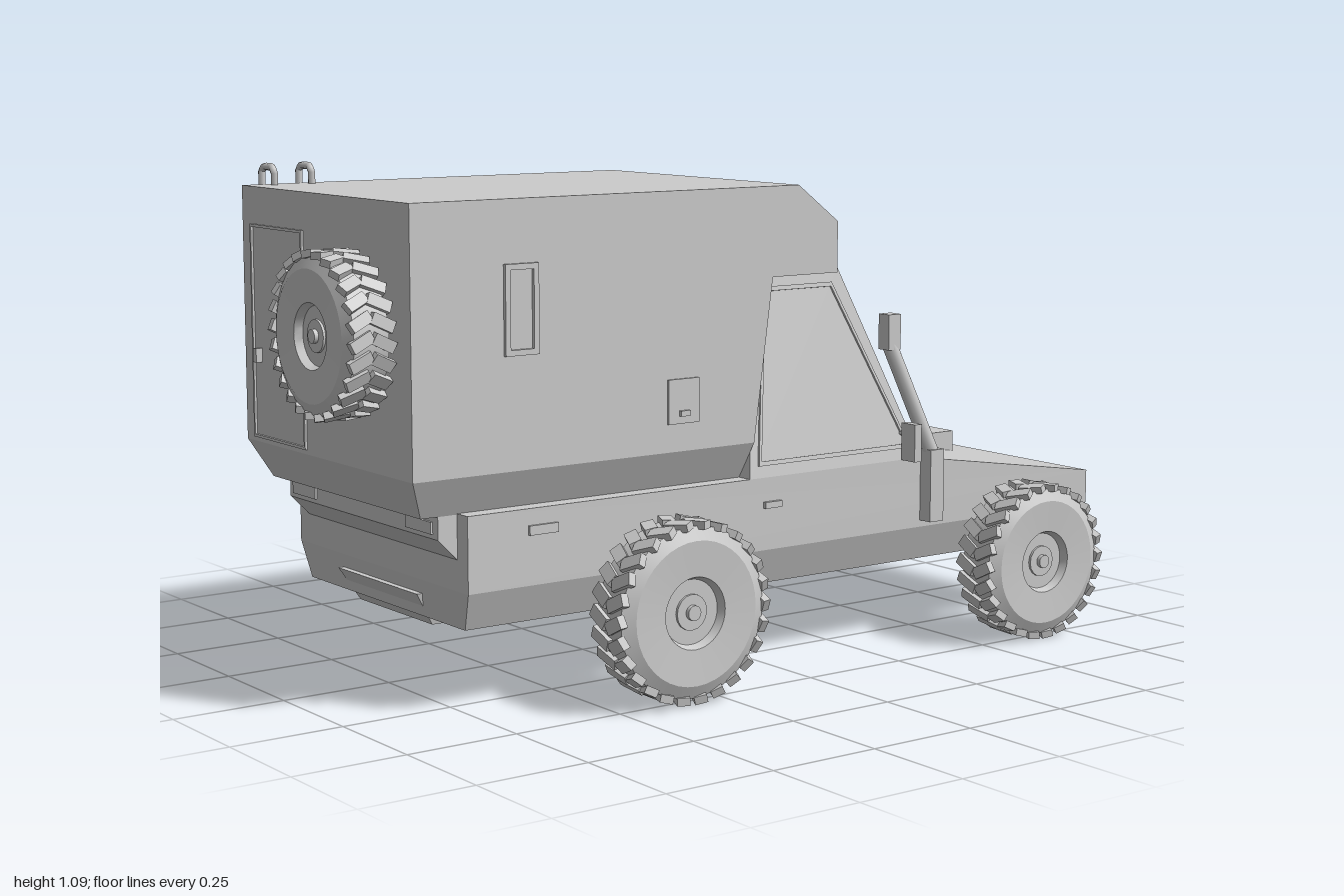
import * as THREE from 'three';
import { mergeGeometries, toCreasedNormals } from 'three/addons/utils/BufferGeometryUtils.js';
import { ConvexGeometry } from 'three/addons/geometries/ConvexGeometry.js';

const V = (x, y, z) => new THREE.Vector3(x, y, z);
const material = new THREE.MeshStandardMaterial({ color: 0xcccccc });

export function createModel() {
  const model = new THREE.Group();
  const add = (name, geometry, x = 0, y = 0, z = 0) => {
    const mesh = new THREE.Mesh(geometry, material);
    mesh.name = name;
    mesh.position.set(x, y, z);
    model.add(mesh);
    return mesh;
  };
  const box = (name, w, h, d, x, y, z) => add(name, new THREE.BoxGeometry(w, h, d), x, y, z);
  // Convex solid from [x, y, halfWidth] points mirrored across z = 0
  const hull = (name, pts) =>
    add(name, new ConvexGeometry(pts.flatMap(([x, y, z]) => [V(x, y, z), V(x, y, -z)])));
  // Round bar through a list of points
  const bar = (name, pts, r, sides = 8) => {
    const path = new THREE.CurvePath();
    for (let i = 1; i < pts.length; i++) path.add(new THREE.LineCurve3(pts[i - 1], pts[i]));
    return add(name, new THREE.TubeGeometry(path, (pts.length - 1) * 6, r, sides));
  };
  // Thin plate on four corners (counter-clockwise from outside); a border makes it a frame
  const plate = (name, c, t, border = 0) => {
    const u = c[1].clone().sub(c[0]).normalize();
    const n = u.clone().cross(c[3].clone().sub(c[0])).normalize();
    const v = n.clone().cross(u);
    const p = c.map(q => new THREE.Vector2(q.clone().sub(c[0]).dot(u), q.clone().sub(c[0]).dot(v)));
    const shape = new THREE.Shape(p);
    if (border) {
      const mid = p.reduce((a, q) => a.add(q), new THREE.Vector2()).multiplyScalar(0.25);
      const w = p[0].distanceTo(p[1]), h = p[0].distanceTo(p[3]);
      shape.holes.push(new THREE.Path(p.map(q => new THREE.Vector2(
        mid.x + (q.x - mid.x) * (1 - 2 * border / w), mid.y + (q.y - mid.y) * (1 - 2 * border / h)))));
    }
    const g = new THREE.ExtrudeGeometry(shape, { depth: t, bevelEnabled: false });
    return add(name, g.applyMatrix4(new THREE.Matrix4().makeBasis(u, v, n).setPosition(c[0])));
  };
  // Mirror corners to side s, keeping them counter-clockwise
  const mirror = (pts, s) => {
    const m = pts.map(([x, y, z]) => V(x, y, z * s));
    return s > 0 ? m : [m[1], m[0], m[3], m[2]];
  };
  const sideRect = (x0, x1, y0, y1, s) =>
    mirror([[x0, y0, 0.35], [x1, y0, 0.35], [x1, y1, 0.35], [x0, y1, 0.35]], s);

  // Lower body, keel and rear step
  hull('lowerBody', [[-0.765, 0.41, 0.35], [-0.765, 0.25, 0.35], [-0.755, 0.17, 0.32],
    [0.44, 0.41, 0.35], [0.97, 0.327, 0.35], [0.97, 0.25, 0.35], [0.96, 0.17, 0.32]]);
  hull('keel', [[-0.775, 0.22, 0.165], [0.98, 0.22, 0.165], [-0.73, 0.147, 0.15], [0.955, 0.147, 0.15]]);
  hull('rearStep', [[-0.81, 0.41, 0.31], [-0.81, 0.36, 0.31], [-0.76, 0.31, 0.31], [-0.76, 0.41, 0.31]]);
  hull('hoodScoop', [[0.575, 0.39, 0.08], [0.575, 0.405, 0.08], [0.785, 0.405, 0.08], [0.785, 0.34, 0.08]]);
  plate('grille', [V(0.97, 0.225, 0.165), V(0.97, 0.225, -0.165), V(0.97, 0.29, -0.165), V(0.97, 0.29, 0.165)], 0.008, 0.012);

  // Cab with sloped windshield and tapered sides
  hull('cab', [[-0.05, 0.41, 0.35], [0.44, 0.41, 0.35], [0.26, 0.847, 0.265], [0.01, 0.847, 0.265]]);
  const cabZ = y => 0.35 - 0.193 * (y - 0.41);
  const glassX = y => 0.44 - 0.409 * (y - 0.41);
  const onGlass = (y, z, lift = 0) => V(glassX(y) + lift, y, z);
  plate('windshieldFrame', [onGlass(0.425, 0.32), onGlass(0.425, -0.32), onGlass(0.825, -0.247), onGlass(0.825, 0.247)], 0.006, 0.01);
  for (const z of [0.205, -0.04]) {
    bar('wiperArm', [onGlass(0.465, z, 0.02), onGlass(0.415, z - 0.23, 0.02)], 0.005, 6);
    bar('wiperBlade', [onGlass(0.445, z + 0.06, 0.012), onGlass(0.465, z - 0.08, 0.012)], 0.005, 6);
  }
  for (const s of [1, -1]) {
    const corners = [[-0.025, 0.435], [0.41, 0.435], [0.235, 0.815], [0.04, 0.815]];
    plate('doorWindowFrame', mirror(corners.map(([x, y]) => [x, y, cabZ(y)]), s), 0.005, 0.01);
    box('doorHandle', 0.045, 0.014, 0.012, 0.01, 0.35, s * 0.353);
    box('mirror', 0.02, 0.085, 0.045, 0.39, 0.453, s * 0.375);
    bar('mirrorArm', [V(0.39, 0.47, s * 0.33), V(0.39, 0.47, s * 0.38)], 0.006, 6);
    plate('sideMarker', sideRect(-0.62, -0.55, 0.355, 0.375, s), 0.006);
    plate('tailLight', [V(-0.81, 0.37, s * 0.24 - 0.05), V(-0.81, 0.37, s * 0.24 + 0.05),
      V(-0.81, 0.395, s * 0.24 + 0.05), V(-0.81, 0.395, s * 0.24 - 0.05)], 0.005);
  }

  // Snorkel up the right windshield pillar
  box('snorkelBase', 0.04, 0.165, 0.04, 0.46, 0.348, 0.365);
  bar('snorkelPipe', [V(0.46, 0.42, 0.365), V(0.365, 0.67, 0.325)], 0.018, 10);
  box('snorkelHead', 0.035, 0.08, 0.035, 0.365, 0.70, 0.325);

  // Camper shell: side profile extruded across, with a chamfered lower edge
  const profile = [[-0.89, 0.49], [-0.039, 0.49], [0.01, 0.845], [0.19, 0.845], [0.19, 0.957], [0.08, 1.04], [-0.89, 1.04]];
  const shell = new THREE.Shape(profile.map(([x, y]) => new THREE.Vector2(x, y)));
  add('camperShell', new THREE.ExtrudeGeometry(shell, { depth: 0.7, bevelEnabled: false }), 0, 0, -0.35);
  hull('camperSkirt', [[-0.89, 0.49, 0.35], [-0.039, 0.49, 0.35], [-0.85, 0.408, 0.31], [-0.05, 0.408, 0.31]]);
  const slope = (x, z) => V(x, 1.04 - (x - 0.08) * 0.7545, z);
  plate('skylightFrame', [slope(0.18, 0.285), slope(0.18, -0.285), slope(0.09, -0.285), slope(0.09, 0.285)], 0.006, 0.012);

  // Side windows, hatches and rear door
  for (const s of [1, -1]) {
    plate('sideWindowFrame', sideRect(-0.675, -0.595, 0.725, 0.91, s), 0.008, 0.012);
    plate('serviceHatch', sideRect(-0.27, -0.19, 0.55, 0.645, s), 0.005);
    box('hatchLatch', 0.025, 0.012, 0.014, -0.23, 0.572, s * 0.355);
  }
  plate('largeHatch', sideRect(-0.46, -0.285, 0.55, 0.645, -1), 0.005);
  box('hatchLatch', 0.025, 0.012, 0.014, -0.37, 0.572, -0.355);
  plate('frontSideWindowFrame', sideRect(-0.02, 0.08, 0.885, 0.96, -1), 0.008, 0.012);
  plate('rearDoor', [V(-0.89, 0.5, -0.31), V(-0.89, 0.5, -0.08), V(-0.89, 0.96, -0.08), V(-0.89, 0.96, -0.31)], 0.005, 0.006);
  box('rearDoorHandle', 0.02, 0.03, 0.015, -0.895, 0.68, -0.28);

  // Ladder hooked over the roof edge
  for (const x of [-0.83, -0.74]) {
    bar('ladderRail', [V(x, 1.03, -0.315), V(x, 1.065, -0.315), V(x, 1.078, -0.325), V(x, 1.078, -0.36),
      V(x, 1.068, -0.373), V(x, 0.84, -0.373), V(x, 0.83, -0.365), V(x, 0.83, -0.345)], 0.008);
  }
  for (const y of [0.87, 0.94, 1.01]) bar('ladderRung', [V(-0.83, y, -0.373), V(-0.74, y, -0.373)], 0.007);

  // Lamps: four on the overhang, two in the nose
  const lamp = (name, r, depth, x, y, z) => {
    const pts = [[r, 0], [r, depth * 0.7], [r * 0.92, depth], [r * 0.78, depth], [r * 0.74, depth * 0.8], [0, depth * 0.95]];
    const g = new THREE.LatheGeometry(pts.map(p => new THREE.Vector2(...p)), 24);
    add(name, toCreasedNormals(g.rotateZ(-Math.PI / 2), 0.5), x, y, z);
  };
  hull('lampPanel', [[0.18, 0.845, 0.195], [0.2, 0.845, 0.195], [0.18, 0.92, 0.195], [0.2, 0.92, 0.195],
    [0.18, 0.938, 0.175], [0.2, 0.938, 0.175]]);
  for (let i = 0; i < 4; i++) lamp('roofLamp', 0.043, 0.037, 0.2, 0.89, (i - 1.5) * 0.094);
  for (const s of [1, -1]) lamp('headlight', 0.045, 0.03, 0.97, 0.268, s * 0.257);

  // Wheel on a z axis: tyre, hub and chevron tread lugs
  const wheelGeometry = (r, w) => {
    const h = w / 2, lugs = 26, parts = [];
    const pts = [[0, -0.6], [0.36, -0.6], [0.4, -0.92], [0.8, -1], [0.95, -0.75],
      [0.95, 0.75], [0.8, 1], [0.4, 0.92], [0.36, 0.6], [0, 0.6]];
    const tyre = new THREE.LatheGeometry(pts.map(([a, b]) => new THREE.Vector2(a * r, b * h)), 40);
    parts.push(toCreasedNormals(tyre.rotateX(Math.PI / 2), 0.5));
    for (const [radius, length] of [[0.2, 1.4], [0.085, 1.75]]) {
      parts.push(new THREE.CylinderGeometry(radius * r, radius * r, length * h, 16).rotateX(Math.PI / 2).toNonIndexed());
    }
    for (let i = 0; i < lugs; i++) for (const s of [1, -1]) {
      const lug = new THREE.BoxGeometry(r * 0.145, r * 0.09, w * 0.5);
      lug.rotateY(s * 0.45).translate(s * 0.018, r * 0.955, s * w * 0.235).rotateZ(i / lugs * Math.PI * 2);
      parts.push(lug.toNonIndexed());
    }
    return mergeGeometries(parts);
  };
  // Coil spring running out from the body to each wheel
  class Coil extends THREE.Curve {
    getPoint(t, out = new THREE.Vector3()) {
      const a = t * Math.PI * 8;
      return out.set(0.036 * Math.cos(a), 0.045 * Math.sin(a) - 0.03 * t, 0.115 * t);
    }
  }
  const coil = new THREE.TubeGeometry(new Coil(), 96, 0.01, 8);
  for (const [x, r] of [[-0.34, 0.19], [0.65, 0.175]]) for (const s of [1, -1]) {
    add('wheel', wheelGeometry(r, 0.11), x, r, s * 0.492);
    const spring = add('suspensionSpring', coil, x, r + 0.025, s * 0.325);
    if (s < 0) spring.rotation.y = Math.PI;
  }
  const spare = add('spareWheel', wheelGeometry(0.17, 0.105), -0.945, 0.767, 0.133);
  spare.rotation.y = -Math.PI / 2;
  return model;
}
